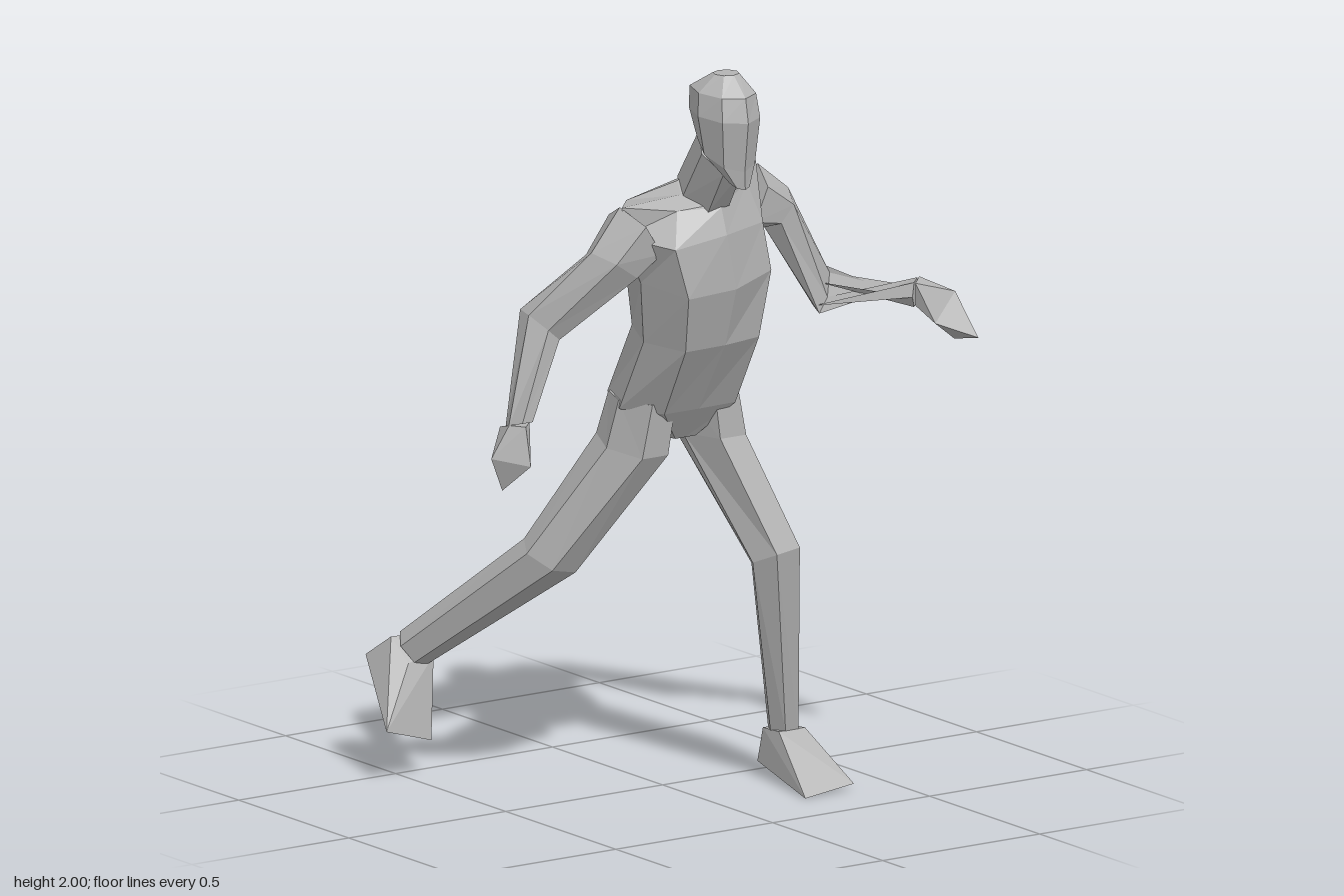
import * as THREE from 'three';
import { ConvexGeometry } from 'three/addons/geometries/ConvexGeometry.js';

const skin = new THREE.MeshStandardMaterial({ color: 0xb3b3b3 });
skin.name = 'grey';

// Elliptical ring: centre c, front vector v, side vector u
function ring(c, u, v, n = 6) {
  return Array.from({ length: n }, (_, i) => {
    const a = (i / n) * Math.PI * 2 + (n === 6 ? Math.PI / 6 : 0);
    const k = n === 6 ? 1 / Math.cos(Math.PI / 6) : 1;
    return c.map((q, j) => q + v[j] * Math.cos(a) * k + u[j] * Math.sin(a));
  });
}

// Faceted skin through a list of rings, closed at both ends
function loft(rings) {
  const tris = [];
  const n = rings[0].length;
  for (let r = 0; r + 1 < rings.length; r++) {
    for (let i = 0; i < n; i++) {
      const k = (i + 1) % n, a = rings[r], b = rings[r + 1];
      tris.push([a[i], a[k], b[k]], [a[i], b[k], b[i]]);
    }
  }
  const last = rings[rings.length - 1];
  for (let i = 1; i + 1 < n; i++) {
    tris.push([rings[0][0], rings[0][i + 1], rings[0][i]], [last[0], last[i], last[i + 1]]);
  }
  // Turn the faces outwards whichever way the rings run
  let volume = 0;
  for (const [a, b, c] of tris) {
    volume += new THREE.Vector3(...a).dot(new THREE.Vector3(...b).cross(new THREE.Vector3(...c)));
  }
  if (volume < 0) tris.forEach((t) => t.reverse());
  const g = new THREE.BufferGeometry();
  g.setAttribute('position', new THREE.Float32BufferAttribute(tris.flat(2), 3));
  g.computeVertexNormals();
  return g;
}

const hull = (points) => new ConvexGeometry(points.map((p) => new THREE.Vector3(...p)));

export function createModel() {
  const model = new THREE.Group();
  const add = (name, geometry) => {
    const mesh = new THREE.Mesh(geometry, skin);
    mesh.name = name;
    model.add(mesh);
  };

  // Torso: each ring runs front, left, back, right
  const pelvis = [
    [[0, .955, .1], [.035, .955, .1], [.05, .955, .03], [.04, .96, -.03],
      [0, .97, -.05], [-.03, .96, -.03], [-.05, .955, .03], [-.03, .955, .1]],
    [[0, 1.045, .165], [.12, 1.045, .16], [.18, 1.05, .05], [.125, 1.06, -.08],
      [0, 1.05, -.105], [-.12, 1.06, -.08], [-.18, 1.05, .06], [-.11, 1.045, .165]],
    [[0, 1.24, .285], [.125, 1.24, .26], [.165, 1.25, .13], [.13, 1.28, .03],
      [0, 1.29, .04], [-.14, 1.27, .06], [-.18, 1.25, .17], [-.13, 1.24, .29]],
  ];
  const chest = [
    [[0, 1.4, .335], [.15, 1.42, .28], [.165, 1.42, .15], [.15, 1.45, .04],
      [0, 1.45, .05], [-.19, 1.45, .1], [-.21, 1.42, .2], [-.155, 1.395, .34]],
    [[-.03, 1.55, .335], [.13, 1.55, .27], [.2, 1.56, .15], [.18, 1.6, .05],
      [0, 1.61, .06], [-.22, 1.57, .11], [-.27, 1.55, .2], [-.19, 1.53, .33]],
    [[-.03, 1.62, .31], [.1, 1.655, .24], [.185, 1.685, .16], [.17, 1.66, .08],
      [0, 1.65, .08], [-.2, 1.625, .12], [-.27, 1.63, .2], [-.15, 1.62, .28]],
  ];
  const neckBase = ring([-.035, 1.66, .235], [.07, .01, 0], [0, -.03, .07], 8);
  add('torso', loft([...pelvis, ...chest, neckBase]));

  // Neck and head
  add('neck', loft([
    ring([-.035, 1.65, .235], [.068, .01, 0], [0, -.035, .07]),
    ring([-.05, 1.78, .335], [.06, 0, 0], [0, -.05, .055]),
  ]));
  add('head', loft([
    ring([-.045, 1.71, .41], [.028, 0, 0], [0, -.015, .03], 8),
    ring([-.05, 1.785, .36], [.07, 0, 0], [0, -.04, .085], 8),
    ring([-.055, 1.89, .36], [.085, 0, 0], [0, -.01, .108], 8),
    ring([-.055, 1.95, .352], [.077, 0, 0], [0, -.005, .104], 8),
    ring([-.05, 1.995, .36], [.035, 0, 0], [0, 0, .035], 8),
  ]));

  // Left arm, reaching forward
  add('leftArm', loft([
    ring([.165, 1.58, .14], [.04, .09, 0], [0, 0, .075]),
    ring([.255, 1.55, .15], [.04, .045, 0], [0, -.01, .055]),
    ring([.38, 1.315, .18], [.04, .035, -.02], [-.015, -.035, .03]),
    ring([.505, 1.34, .43], [.028, .005, -.025], [0, .033, 0]),
  ]));
  add('leftHand', hull([
    [.49, 1.31, .45], [.53, 1.31, .4], [.49, 1.37, .45], [.53, 1.375, .41], [.55, 1.36, .545],
    [.595, 1.29, .51], [.565, 1.225, .52], [.575, 1.245, .615], [.49, 1.28, .54],
  ]));

  // Right arm, hanging back
  add('rightArm', loft([
    ring([-.22, 1.55, .19], [-.05, .08, 0], [0, 0, .085]),
    ring([-.285, 1.47, .175], [-.065, .045, 0], [0, 0, .07]),
    ring([-.43, 1.31, .055], [-.035, .03, 0], [.01, -.02, .05]),
    ring([-.513, 1.06, .08], [-.033, 0, 0], [0, .01, .038]),
  ]));
  add('rightHand', hull([
    [-.56, .885, .07], [-.595, .975, .07], [-.525, 1.04, .01], [-.48, .97, .08],
    [-.525, .96, .15], [-.545, 1.06, .08], [-.48, 1.06, .08], [-.52, 1.06, .12],
  ]));

  // Left leg, planted in front
  add('leftLeg', loft([
    ring([.1, 1.07, .05], [.075, 0, 0], [0, 0, .1]),
    ring([.118, .95, .04], [.082, 0, 0], [0, 0, .113]),
    ring([.213, .63, .21], [.073, .01, 0], [0, .022, .058]),
    ring([.297, .135, .125], [.041, 0, 0], [0, 0, .04]),
  ]));
  add('leftFoot', hull([
    [.255, .14, .165], [.338, .14, .165], [.26, .135, .085], [.335, .135, .085],
    [.26, .04, .06], [.345, .04, .06], [.22, 0, .335], [.375, .018, .335],
  ]));

  // Right leg, trailing behind
  add('rightLeg', loft([
    ring([-.1, 1.07, .05], [.075, 0, 0], [0, 0, .1]),
    ring([-.118, .94, .03], [.082, 0, 0], [0, -.015, .105]),
    ring([-.272, .63, -.125], [.073, -.015, 0], [0, -.03, .065]),
    ring([-.443, .33, -.5], [.041, -.01, 0], [0, -.035, .033]),
  ]));
  add('rightFoot', hull([
    [-.49, .36, -.535], [-.41, .36, -.525], [-.48, .3, -.47], [-.4, .31, -.47],
    [-.515, .3, -.615], [-.425, .305, -.62], [-.585, .14, -.42], [-.435, .095, -.43],
  ]));

  return model;
}
